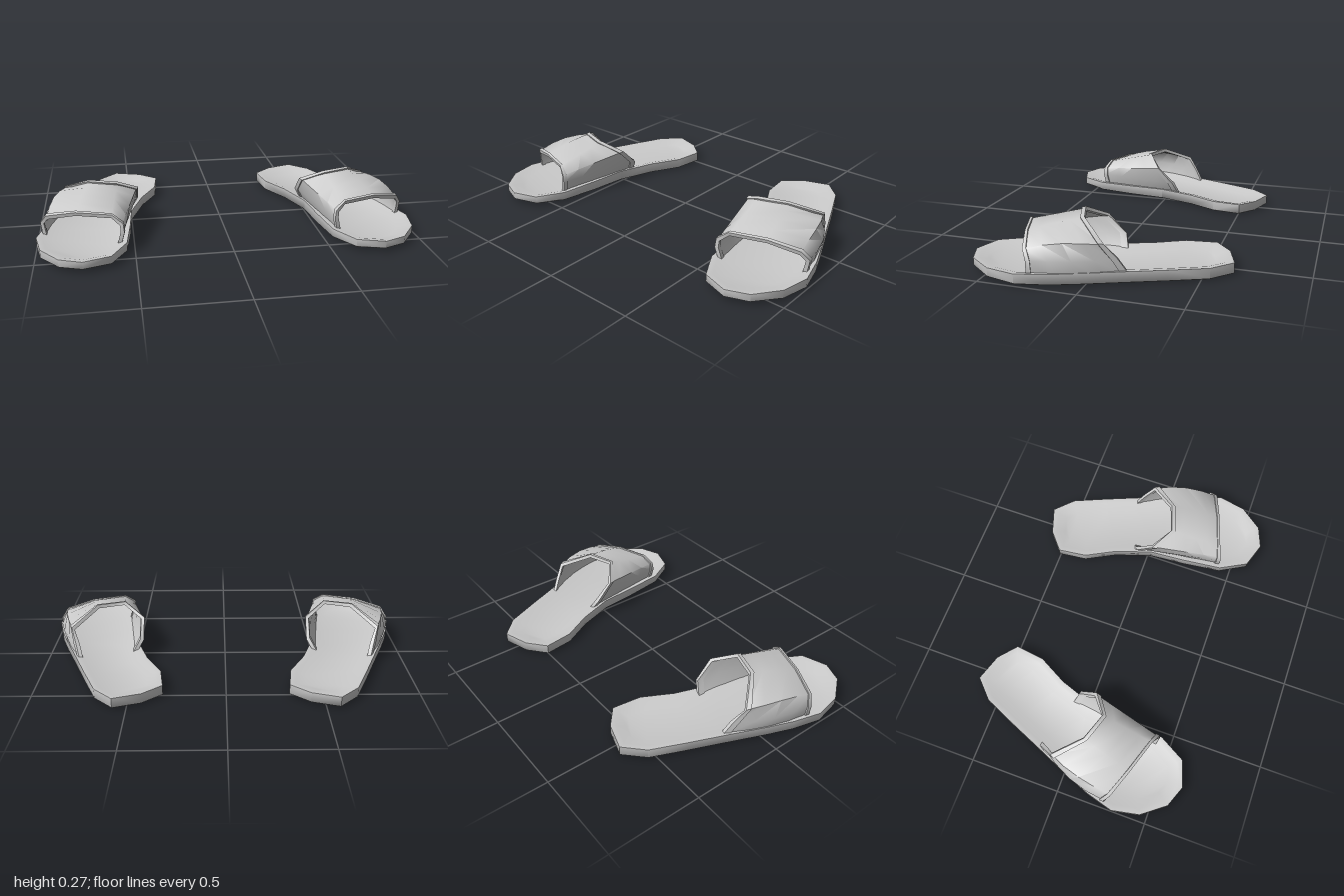
import * as THREE from 'three';
import { toCreasedNormals } from 'three/addons/utils/BufferGeometryUtils.js';

const V = (x, y, z) => new THREE.Vector3(x, y, z);
const material = new THREE.MeshStandardMaterial({ color: 0xcccccc });

// Sole outline (x, z): heel, outer side, toe, inner side. Point k faces point n-1-k.
const OUTLINE = [
  [0.57, -0.637], [0.67, -0.54], [0.75, -0.355], [0.82, -0.185], [0.91, 0.03],
  [0.96, 0.16], [1, 0.31], [0.97, 0.46], [0.875, 0.585],
  [0.76, 0.63], [0.62, 0.585], [0.54, 0.44], [0.515, 0.22], [0.5, 0.02],
  [0.43, -0.185], [0.345, -0.345], [0.325, -0.505], [0.425, -0.59],
];

// Strap edges, from the outer base over the foot to the inner base
const BACK = [
  V(0.79, 0.035, -0.185), V(0.815, 0.12, -0.135), V(0.845, 0.19, -0.08), V(0.72, 0.265, 0.06),
  V(0.575, 0.265, 0.11), V(0.468, 0.205, 0.03), V(0.468, 0.115, -0.065), V(0.515, 0.035, -0.09),
];
const FRONT = [
  V(0.955, 0.035, 0.265), V(0.968, 0.12, 0.26), V(0.94, 0.16, 0.285), V(0.79, 0.192, 0.34),
  V(0.61, 0.192, 0.4), V(0.563, 0.155, 0.425), V(0.56, 0.115, 0.43), V(0.58, 0.035, 0.42),
];
const BULGE = [0.025, 0.035, 0.03, 0.01, 0, 0, 0, 0];

// Closed skin over equal rings, end caps made by pairing opposite points
function loft(rings, side) {
  const n = rings[0].length;
  const pts = rings.flat().map((p) => V(p.x * side, p.y, p.z));
  const index = [];
  const quad = (a, b, c, d) => index.push(a, b, c, a, c, d);
  for (let r = 0; r < rings.length - 1; r++) {
    for (let k = 0; k < n; k++) {
      const j = (k + 1) % n;
      quad(r * n + k, r * n + j, (r + 1) * n + j, (r + 1) * n + k);
    }
  }
  const end = (rings.length - 1) * n;
  for (let k = 0; k < n / 2 - 1; k++) {
    const m = n - 1 - k;
    quad(k, m, m - 1, k + 1);
    quad(end + k, end + k + 1, end + m - 1, end + m);
  }
  // Turn the faces outward
  let volume = 0;
  for (let i = 0; i < index.length; i += 3) {
    volume += pts[index[i]].dot(V(0, 0, 0).crossVectors(pts[index[i + 1]], pts[index[i + 2]]));
  }
  if (volume < 0) index.reverse();
  const geometry = new THREE.BufferGeometry().setFromPoints(pts);
  geometry.setIndex(index);
  return toCreasedNormals(geometry, 0.95);
}

// Outline moved inward by d, with mitred corners
function inset(d, height) {
  const n = OUTLINE.length;
  const pts = OUTLINE.map(([x, z]) => new THREE.Vector2(x, z));
  return pts.map((p, i) => {
    const a = p.clone().sub(pts[(i + n - 1) % n]).normalize();
    const b = pts[(i + 1) % n].clone().sub(p).normalize();
    const na = new THREE.Vector2(-a.y, a.x);
    const nb = new THREE.Vector2(-b.y, b.x);
    const m = na.clone().add(nb).multiplyScalar(d / (1 + na.dot(nb)));
    return V(p.x + m.x, height(p.y), p.y + m.y);
  });
}

function soleGeometry(side) {
  const toeLift = (z) => 0.015 * Math.max(0, (z - 0.1) / 0.53) ** 1.3;
  return loft([
    inset(0.03, (z) => toeLift(z)),
    inset(0.008, (z) => toeLift(z) + 0.004),
    inset(0, (z) => toeLift(z) + 0.01),
    inset(0, () => 0.062),
    inset(0.03, () => 0.059),
    inset(0.08, () => 0.043),
  ], side);
}

// Point on the strap: i along its arch, v from back edge to front edge
function strapBase(i, v) {
  return BACK[i].clone().lerp(FRONT[i], v);
}
function strapPoint(i, v, offset) {
  const a = strapBase(Math.max(i - 1, 0), v);
  const b = strapBase(Math.min(i + 1, BACK.length - 1), v);
  const normal = b.sub(a).cross(FRONT[i].clone().sub(BACK[i])).normalize();
  return strapBase(i, v).addScaledVector(normal, offset + 4 * v * (1 - v) * BULGE[i]);
}

// A strip of the strap between the given v positions, from inner to outer offset
function strapGeometry(vs, inner, outer, side) {
  const rings = BACK.map((_, i) => [
    ...vs.map((v) => strapPoint(i, v, outer)),
    ...[...vs].reverse().map((v) => strapPoint(i, v, inner)),
  ]);
  return loft(rings, side);
}

function sandal(name, side) {
  const group = new THREE.Group();
  group.name = name;
  const add = (part, geometry) => {
    const mesh = new THREE.Mesh(geometry, material);
    mesh.name = part;
    group.add(mesh);
  };
  add('sole', soleGeometry(side));
  add('strap', strapGeometry([0.02, 0.25, 0.5, 0.75, 0.98], -0.006, 0.002, side));
  add('backTrim', strapGeometry([0, 0.07], -0.01, 0.01, side));
  add('frontTrim', strapGeometry([0.95, 1], -0.01, 0.01, side));
  return group;
}

export function createModel() {
  const model = new THREE.Group();
  model.name = 'sandals';
  model.add(sandal('leftSandal', 1), sandal('rightSandal', -1));
  return model;
}
